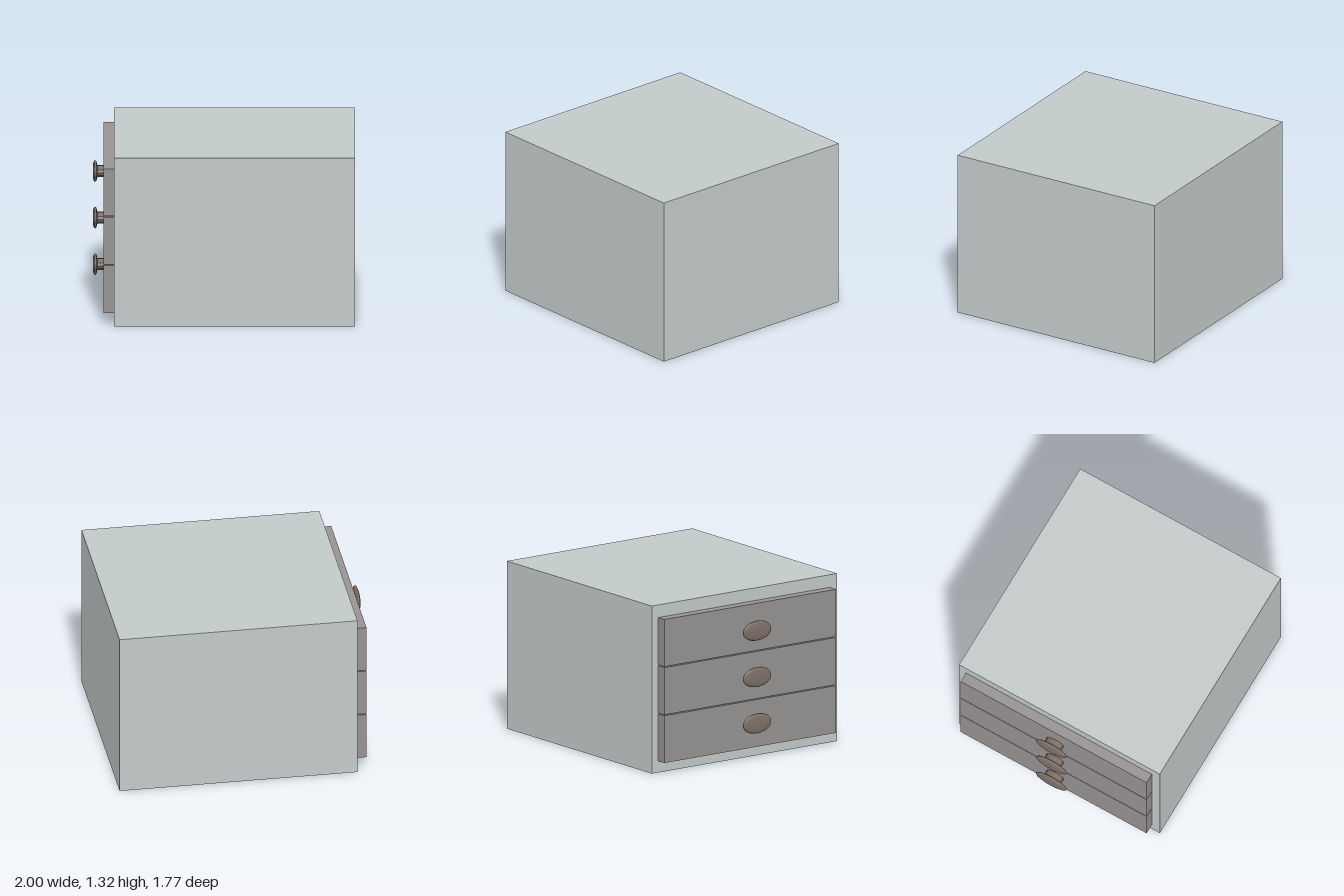
import * as THREE from 'three';

const bodyMat = new THREE.MeshStandardMaterial({ color: 0xc2cac9 });
const drawerMat = new THREE.MeshStandardMaterial({ color: 0x969392 });
const knobMat = new THREE.MeshStandardMaterial({ color: 0x7d7168 });
const stemMat = new THREE.MeshStandardMaterial({ color: 0x7d7168, flatShading: true });

// Box given by its minimum and maximum corners
function box(name, min, max, material) {
  const size = max.map((v, i) => v - min[i]);
  const mesh = new THREE.Mesh(new THREE.BoxGeometry(...size), material);
  mesh.position.set(...max.map((v, i) => (v + min[i]) / 2));
  mesh.name = name;
  return mesh;
}

// Oval knob; built along y, then turned to point towards -x
function makeKnob() {
  const knob = new THREE.Group();
  knob.name = 'knob';

  const stem = new THREE.Mesh(new THREE.CylinderGeometry(0.075, 0.075, 0.055, 12), stemMat);
  stem.name = 'knobStem';
  stem.position.y = 0.0275;

  const profile = [[0, 0.045], [0.085, 0.047], [0.125, 0.054], [0.135, 0.062],
    [0.13, 0.07], [0.105, 0.077], [0.06, 0.08], [0, 0.08]];
  const cap = new THREE.Mesh(
    new THREE.LatheGeometry(profile.map(([r, y]) => new THREE.Vector2(r, y)), 32), knobMat);
  cap.name = 'knobCap';

  knob.add(stem, cap);
  knob.scale.x = 0.58; // flattens the knob vertically
  knob.rotation.z = Math.PI / 2;
  return knob;
}

export function createModel() {
  const model = new THREE.Group();
  model.name = 'drawerCabinet';
  model.add(box('cabinetBody', [-0.84, 0, -0.885], [1, 1.315, 0.885], bodyMat));

  // Three stacked drawers, each with one knob
  for (let i = 0; i < 3; i++) {
    const y = 0.09 + i * 0.378;
    const drawer = new THREE.Group();
    drawer.name = 'drawer';
    const knob = makeKnob();
    knob.position.set(-0.92, 0.292 + i * 0.364, 0.012);
    drawer.add(box('drawerFront', [-0.92, y, -0.825], [-0.84, y + 0.37, 0.815], drawerMat), knob);
    model.add(drawer);
  }
  return model;
}
